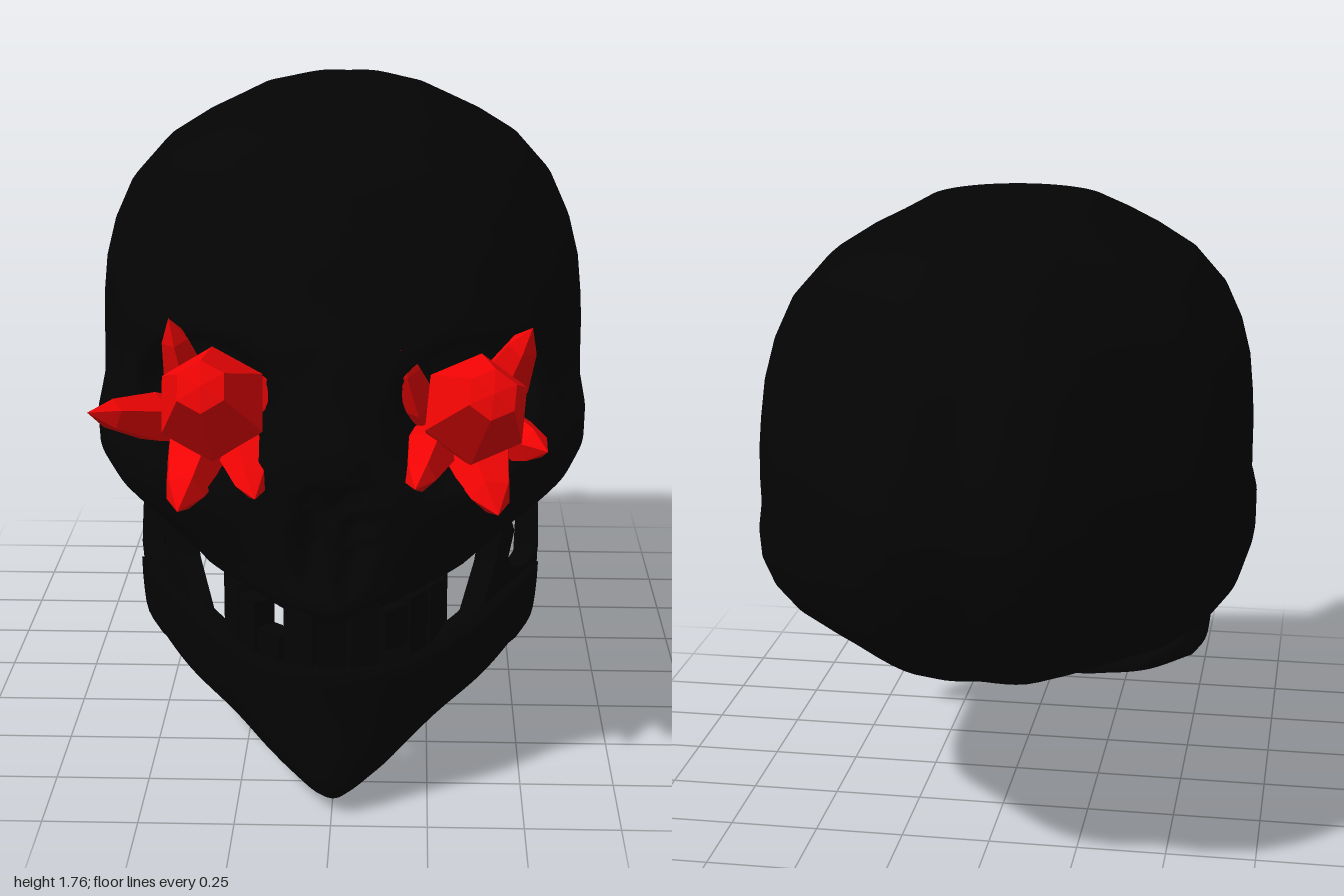
import * as THREE from 'three';

const bone = new THREE.MeshStandardMaterial({ color: 0x040404 });
const boneThin = new THREE.MeshStandardMaterial({ color: 0x040404, side: THREE.DoubleSide });
const red = new THREE.MeshStandardMaterial({ color: 0xf20404, flatShading: true });
const { lerp, smoothstep } = THREE.MathUtils;

function add(parent, name, geometry, material) {
  const mesh = new THREE.Mesh(geometry, material);
  mesh.name = name;
  parent.add(mesh);
  return mesh;
}

// Skin closed rings of points; both ends are closed onto their centroid.
function loft(rings) {
  const n = rings[0].length;
  const closed = (ring) => {
    const c = new THREE.Vector3();
    ring.forEach((p) => c.addScaledVector(p, 1 / n));
    return ring.map(() => c);
  };
  const all = [closed(rings[0]), ...rings, closed(rings[rings.length - 1])];
  const index = [];
  for (let i = 0; i < all.length - 1; i++) {
    for (let j = 0; j < n; j++) {
      const a = i * n + j, b = i * n + (j + 1) % n;
      index.push(a, a + n, b, a + n, b + n, b);
    }
  }
  const g = new THREE.BufferGeometry().setFromPoints(all.flat());
  g.setIndex(index);
  g.computeVertexNormals();
  return g;
}

// Smooth hollow: 1 in the middle, 0 at the rim of an ellipse.
function hollow(u, v, ru, rv) {
  const d = (u / ru) ** 2 + (v / rv) ** 2;
  return d < 1 ? smoothstep(1 - d, 0, 0.6) : 0;
}

function skullGeometry() {
  // height, half width, back z, front z, roundness of the front
  const keys = [
    [0.53, 0.42, -0.61, 0.93, 1.5], [0.58, 0.54, -0.71, 0.97, 1.5],
    [0.65, 0.62, -0.80, 0.93, 1.6], [0.72, 0.67, -0.86, 0.90, 1.85],
    [0.80, 0.695, -0.915, 0.885, 2.15], [0.88, 0.695, -0.955, 0.87, 2.3],
    [0.96, 0.68, -0.985, 0.85, 2.1], [1.04, 0.68, -1.0, 0.80, 1.95],
    [1.12, 0.68, -0.99, 0.76, 1.95], [1.20, 0.675, -0.97, 0.74, 2.05],
    [1.30, 0.665, -0.935, 0.69, 2.1], [1.40, 0.64, -0.895, 0.65, 2.05],
    [1.50, 0.595, -0.84, 0.60, 2], [1.59, 0.515, -0.785, 0.55, 2],
    [1.65, 0.42, -0.71, 0.48, 2], [1.69, 0.34, -0.63, 0.43, 2],
    [1.74, 0.25, -0.47, 0.27, 2], [1.757, 0.2, -0.25, 0.1, 2],
  ];
  // plan outline of the back of the head, from the middle to the side
  const back = new THREE.SplineCurve([[0, 1], [0.32, 0.99], [0.7, 0.72], [0.89, 0.56], [0.965, 0.39], [0.995, 0.18], [1, 0]]
    .map(([x, z]) => new THREE.Vector2(x, z)));
  const n = 128;
  const arch = (z) => 0.53 + 0.15 * Math.exp(-(((z - 0.42) / 0.17) ** 2));
  const ring = ([y, w, zBack, zFront, p], size = 1) => Array.from({ length: n }, (_, j) => {
    const a = j / n * Math.PI * 2, c = Math.cos(a), s = Math.sin(a);
    const q = s >= 0 ? new THREE.Vector2(Math.abs(c) ** (2 / p), s ** (2 / p))
      : back.getPoint(Math.abs(a / Math.PI - 1.5) * 2);
    let x = Math.sign(c) * q.x * w * size;
    let z = 0.02 + q.y * ((s >= 0 ? zFront : zBack) - 0.02) * size;
    if (size < 1) {
      // underside with a raised palate
      const palate = size < 0.9 ? 0.1 * smoothstep(z, 0.4, 0.58) : 0;
      return new THREE.Vector3(x, arch(z) + palate, z);
    }
    const ax = Math.abs(x);
    if (z > 0.3) {
      z -= 0.22 * hollow(ax - 0.34, y - 1.03, 0.2, 0.18);                       // eye sockets
      z -= 0.1 * hollow(ax - 0.04 - (0.78 - y) * 0.12, y - 0.76, 0.045, 0.15);  // nose openings
      z += 0.02 * hollow(ax, y - 1.0, 0.1, 0.2);                                // nasal bridge
    }
    x *= 1 - 0.06 * hollow(z - 0.24, y - 1.08, 0.13, 0.18);                     // temples
    return new THREE.Vector3(x, Math.max(y, arch(z)), z);
  });
  const rings = [0.2, 0.45, 0.7, 0.85, 0.93].map((s) => ring(keys[0], s));
  for (let i = 0; i < keys.length - 1; i++) {
    for (let k = 0; k < 3; k++) rings.push(ring(keys[i].map((v, m) => lerp(v, keys[i + 1][m], k / 3))));
  }
  rings.push(ring(keys[keys.length - 1]));
  return loft(rings);
}

// Mirrored smooth curve from the right end, past the chin, to the left end.
function archCurve(half) {
  const left = half.map((p) => new THREE.Vector3(...p));
  const right = left.slice(1).reverse().map((p) => new THREE.Vector3(-p.x, p.y, p.z));
  return new THREE.CatmullRomCurve3([...right, ...left]);
}

function jawGeometry() {
  const levels = [
    [[0, 0, 0.85], [0.1, 0.03, 0.74], [0.22, 0.1, 0.56], [0.36, 0.17, 0.44], [0.5, 0.26, 0.36]],
    [[0, 0.07, 0.95], [0.12, 0.1, 0.86], [0.27, 0.17, 0.68], [0.41, 0.23, 0.52], [0.54, 0.32, 0.345]],
    [[0, 0.25, 0.93], [0.15, 0.26, 0.88], [0.29, 0.3, 0.72], [0.425, 0.34, 0.53], [0.555, 0.4, 0.325]],
    [[0, 0.41, 0.935], [0.16, 0.41, 0.89], [0.3, 0.41, 0.74], [0.43, 0.43, 0.53], [0.56, 0.47, 0.31]],
  ].map(archCurve);
  const rings = [];
  for (let i = 0; i <= 48; i++) {
    const side = new THREE.CatmullRomCurve3(levels.map((c) => c.getPoint(i / 48)));
    const outer = side.getPoints(9);
    const inner = outer.map((p) => new THREE.Vector3(p.x * 0.88, p.y + 0.01, p.z - 0.12 * Math.max(0, p.z - 0.3))).reverse();
    rings.push([...outer, ...inner]);
  }
  return loft(rings);
}

// Upright plate at the back of the jaw with its two prongs, slanting outwards.
function ramusGeometry(side) {
  const outline = [[0.56, 0.4], [0.49, 0.54], [0.47, 0.62], [0.43, 0.645], [0.41, 0.6], [0.435, 0.53], [0.41, 0.49],
    [0.35, 0.48], [0.29, 0.51], [0.25, 0.6], [0.21, 0.63], [0.27, 0.47], [0.32, 0.38], [0.36, 0.35], [0.45, 0.35]];
  const shape = new THREE.Shape(outline.map(([z, y]) => new THREE.Vector2(-z, y)));
  const g = new THREE.ExtrudeGeometry(shape, { depth: 0.06, bevelEnabled: false });
  g.rotateY(Math.PI / 2);
  const pos = g.attributes.position;
  for (let i = 0; i < pos.count; i++) {
    pos.setX(i, pos.getX(i) - 0.03 + side * Math.min(0.53, 0.385 + (0.52 - pos.getZ(i)) * 0.65));
  }
  g.computeVertexNormals();
  return g;
}

function addTeeth(parent, name, y, height, missing) {
  const curve = archCurve([[0, 0, 0.9], [0.12, 0, 0.87], [0.22, 0, 0.76], [0.27, 0, 0.61]]);
  const count = 11;
  for (let i = 0; i < count; i++) {
    if (i === missing) continue;
    const t = (i + 0.5) / count, p = curve.getPointAt(t), d = curve.getTangentAt(t);
    const tooth = add(parent, name, new THREE.BoxGeometry(0.076, height, 0.055 + 0.02 * Math.abs(t - 0.5)), bone);
    tooth.position.set(p.x, y + 0.012 * Math.sin(i * 2.4), p.z);
    tooth.rotation.y = Math.atan2(-d.z, d.x);
  }
}

// Faceted crystal growing from a root to a tip; outline is [radius, length] in fractions.
const broad = [[0, 0], [0.6, 0.02], [1, 0.55], [0.45, 0.98], [0, 1]];
const spike = [[0, 0], [0.8, 0.02], [1, 0.45], [0.6, 0.8], [0, 1]];
function addCrystal(parent, root, tip, r, outline) {
  const a = new THREE.Vector3(...root), b = new THREE.Vector3(...tip), len = a.distanceTo(b);
  const profile = outline.map(([x, y]) => new THREE.Vector2(x * r, y * len));
  const mesh = add(parent, 'crystal', new THREE.LatheGeometry(profile, outline === broad ? 6 : 5), red);
  mesh.position.copy(a);
  mesh.quaternion.setFromUnitVectors(new THREE.Vector3(0, 1, 0), b.sub(a).normalize());
}

export function createModel() {
  const model = new THREE.Group();
  model.name = 'skull';
  add(model, 'cranium', skullGeometry(), bone);

  const jaw = new THREE.Group();
  jaw.name = 'lowerJaw';
  model.add(jaw);
  add(jaw, 'jawBone', jawGeometry(), boneThin);
  for (const side of [-1, 1]) add(jaw, 'jawRamus', ramusGeometry(side), boneThin);
  addTeeth(jaw, 'lowerTooth', 0.425, 0.1, 7);
  addTeeth(model, 'upperTooth', 0.51, 0.11, 3);

  // root, tip, radius; the first of each cluster is the large one
  const clusters = {
    rightEyeCrystals: [
      [[-0.3, 0.93, 0.5], [-0.32, 1.17, 0.96], 0.15], [[-0.21, 0.92, 0.52], [-0.13, 1.19, 0.72], 0.05],
      [[-0.36, 0.93, 0.5], [-0.63, 1.04, 0.77], 0.07], [[-0.37, 0.95, 0.5], [-0.43, 1.26, 0.65], 0.06],
      [[-0.34, 0.95, 0.52], [-0.39, 0.82, 0.9], 0.09], [[-0.26, 0.94, 0.52], [-0.19, 0.87, 0.94], 0.07]],
    leftEyeCrystals: [
      [[0.32, 0.93, 0.5], [0.4, 1.16, 0.97], 0.145], [[0.25, 0.9, 0.52], [0.17, 1.2, 0.72], 0.06],
      [[0.39, 0.95, 0.5], [0.51, 1.24, 0.64], 0.07], [[0.38, 0.94, 0.5], [0.55, 0.94, 0.75], 0.075],
      [[0.35, 0.95, 0.52], [0.42, 0.82, 0.9], 0.09], [[0.27, 0.93, 0.52], [0.21, 0.9, 0.94], 0.07]],
  };
  for (const [name, crystals] of Object.entries(clusters)) {
    const group = new THREE.Group();
    group.name = name;
    model.add(group);
    crystals.forEach(([root, tip, r], i) => addCrystal(group, root, tip, r, i === 0 ? broad : spike));
  }
  return model;
}
